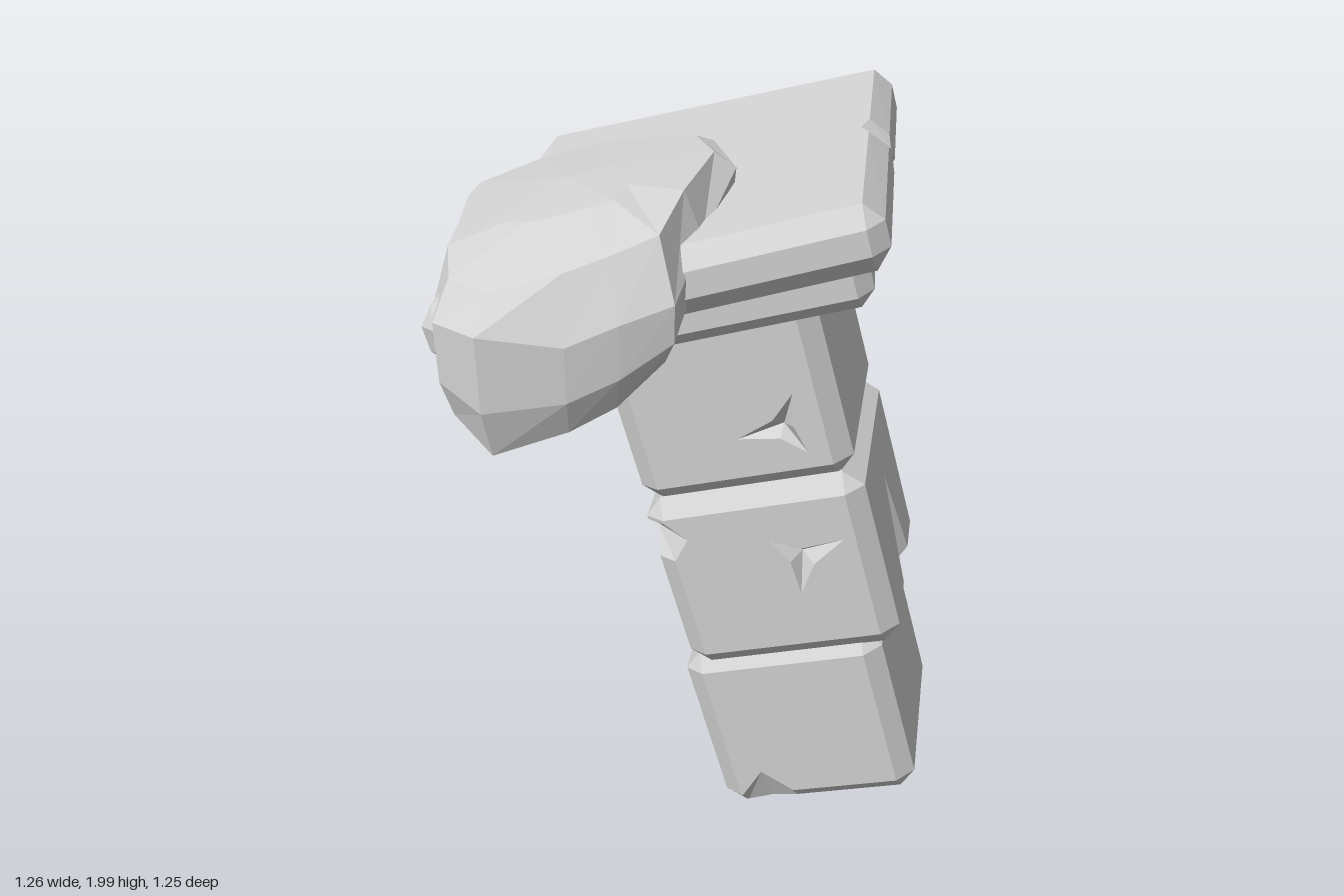
import * as THREE from 'three';

const stone = new THREE.MeshStandardMaterial({ color: 0xd4d4d4 });
stone.name = 'grey stone';

const V = p => new THREE.Vector3(...p);

// Collects flat triangles, each turned to face the given outward direction
function facets() {
  const pos = [];
  return {
    tri(p, q, r, out) {
      const n = V(q).sub(V(p)).cross(V(r).sub(V(p)));
      if (n.dot(V(out)) < 0) [q, r] = [r, q];
      pos.push(...p, ...q, ...r);
    },
    geometry(warp) {
      for (let i = 0; warp && i < pos.length; i += 3) {
        const p = warp(pos[i], pos[i + 1], pos[i + 2]);
        for (let j = 0; j < 3; j++) pos[i + j] = p[j];
      }
      const g = new THREE.BufferGeometry();
      g.setAttribute('position', new THREE.Float32BufferAttribute(pos, 3));
      g.computeVertexNormals();
      return g;
    }
  };
}

// Chamfered stone with chipped edges and star-shaped pits.
// notch: a = edge axis, sb/sd = signs of the next two axes, at = centre along the edge,
//        w = half width, b/d = depth of the bite into the two neighbouring faces
// pit: k/s = face axis and sign, at = centre on the face, r = radius, turn = angle
function chippedBlock(name, min, max, c, { notches = [], pits = [], warp } = {}) {
  const mid = min.map((m, i) => (m + max[i]) / 2);
  const h = min.map((m, i) => (max[i] - m) / 2);
  const f = facets();
  const put = p => p.map((v, i) => v + mid[i]);

  const facePoint = (k, s) => s.map((v, i) => v * (i === k ? h[i] : h[i] - c[i]));

  // Points along one border of the face with axis k
  function edge(a, s, k) {
    const b = (a + 1) % 3, d = (a + 2) % 3;
    const at = v => { const q = [...s]; q[a] = v; return facePoint(k, q); };
    const row = [at(-1)];
    const n = notches.find(n => n.a === a && n.sb === s[b] && n.sd === s[d]);
    if (n) for (const t of [-1, 0, 1]) {
      const p = at(0);
      p[a] = n.at - mid[a] + t * n.w;
      const other = k === b ? d : b;
      if (t === 0) p[other] -= s[other] * (k === b ? n.b : n.d);
      row.push(p);
    }
    row.push(at(1));
    return row;
  }

  for (let k = 0; k < 3; k++) {
    const a = (k + 1) % 3, d = (k + 2) % 3;
    for (const s of [-1, 1]) {
      // Flat face, with a hole where there is a pit
      const sign = (va, vd) => { const q = [0, 0, 0]; q[k] = s; q[a] = va; q[d] = vd; return q; };
      const loop = [
        ...edge(a, sign(0, -1), k).slice(0, -1), ...edge(d, sign(1, 0), k).slice(0, -1),
        ...edge(a, sign(0, 1), k).reverse().slice(0, -1), ...edge(d, sign(-1, 0), k).reverse().slice(0, -1)];
      const out = sign(0, 0);
      const holes = pits.filter(p => p.k === k && p.s === s).map(p => {
        const ring = [];
        for (let i = 0; i < 6; i++) {
          const ang = p.turn + i * Math.PI / 3, r = p.r * [1, 0.22, 0.75, 0.25, 0.9, 0.3][i];
          const q = [0, 0, 0];
          q[k] = s * h[k];
          q[a] = p.at[a] - mid[a] + r * Math.cos(ang);
          q[d] = p.at[d] - mid[d] + r * Math.sin(ang);
          ring.push(q);
        }
        const apex = p.at.map((v, i) => v - mid[i]);
        apex[k] = s * (h[k] - 0.04);
        ring.forEach((q, i) => f.tri(put(q), put(ring[(i + 1) % 6]), put(apex), out));
        return ring;
      });
      const flat = l => l.map(p => new THREE.Vector2(p[a], p[d]));
      const all = [loop, ...holes].flat();
      for (const [i, j, l] of THREE.ShapeUtils.triangulateShape(flat(loop), holes.map(flat)))
        f.tri(put(all[i]), put(all[j]), put(all[l]), out);

      // Chamfers along axis k, split so that a chip stays symmetrical
      for (const t of [-1, 1]) {
        const q = [0, 0, 0]; q[a] = s; q[d] = t;
        const A = edge(k, q, a).map(put), B = edge(k, q, d).map(put);
        for (let i = 0; i + 1 < A.length; i++) {
          const [P, Q] = V(A[i]).distanceTo(V(B[i + 1])) > V(A[i + 1]).distanceTo(V(B[i])) ? [A, B] : [B, A];
          f.tri(P[i], P[i + 1], Q[i + 1], q);
          f.tri(P[i], Q[i + 1], Q[i], q);
        }
      }
    }
  }
  // Corner triangles
  for (const x of [-1, 1]) for (const y of [-1, 1]) for (const z of [-1, 1]) {
    const s = [x, y, z];
    f.tri(put(facePoint(0, s)), put(facePoint(1, s)), put(facePoint(2, s)), s);
  }
  const mesh = new THREE.Mesh(f.geometry(warp), stone);
  mesh.name = name;
  return mesh;
}

// Lumpy covering that lies on the top slab and hangs over two of its sides
function drape() {
  // x, z, height of the widest line, height of the hem
  const rim = [
    [-0.63, 0.03, 1.68, 1.44], [-0.62, -0.07, 1.70, 1.6], [-0.46, -0.18, 1.80, 1.74],
    [-0.25, -0.21, 1.86, 1.80], [-0.12, -0.16, 1.91, 1.84], [0.01, -0.10, 1.95, 1.88],
    [0.09, 0.07, 1.95, 1.88], [0.05, 0.33, 1.88, 1.76], [0.02, 0.53, 1.80, 1.64],
    [-0.10, 0.57, 1.76, 1.53], [-0.22, 0.60, 1.71, 1.47], [-0.42, 0.62, 1.73, 1.40],
    [-0.54, 0.54, 1.72, 1.46], [-0.58, 0.40, 1.70, 1.64], [-0.60, 0.22, 1.69, 1.60]];
  const cx = -0.31, cz = 0.12, f = facets();
  const ring = (k, y) => rim.map(([x, z, ym, yb]) => {
    const px = cx + (x - cx) * k, pz = cz + (z - cz) * k;
    return [px, y(px, pz, ym, yb), pz];
  });
  const crest = (x, z) => 1.98 + 0.268 * x - 0.4 * Math.max(0, z - 0.4);
  const rings = [
    ring(0.45, (x, z) => crest(x, z) + 0.01), ring(0.87, crest), ring(1, (x, z, ym) => ym),
    ring(0.99, (x, z, ym, yb) => yb + 0.4 * (ym - yb)),
    ring(0.91, (x, z, ym, yb) => yb), ring(0.73, (x, z, ym, yb) => yb + 0.06),
    ring(0.7, x => 1.78 + 0.268 * x)];
  const top = [cx, 1.92, cz], inside = [cx, 1.72, cz];
  const n = rim.length;
  for (let i = 0; i < n; i++) {
    const j = (i + 1) % n;
    const o = [rim[i][0] + rim[j][0] - 2 * cx, 0, rim[i][1] + rim[j][1] - 2 * cz];
    const dirs = [[0, 1, 0], [o[0], 0.6, o[2]], o, o, [0, -1, 0], [-o[0], -0.1, -o[2]]];
    f.tri(top, rings[0][i], rings[0][j], [0, 1, 0]);
    dirs.forEach((out, r) => {
      f.tri(rings[r][i], rings[r][j], rings[r + 1][j], out);
      f.tri(rings[r][i], rings[r + 1][j], rings[r + 1][i], out);
    });
    f.tri(inside, rings[6][i], rings[6][j], [0, -1, 0]);
  }
  const mesh = new THREE.Mesh(f.geometry(), stone);
  mesh.name = 'drapedCovering';
  return mesh;
}

export function createModel() {
  const model = new THREE.Group();
  model.name = 'leaningPillar';
  const pillar = new THREE.Group();
  pillar.name = 'pillar';
  pillar.rotation.z = Math.PI / 12;
  const c = [0.05, 0.05, 0.04];

  pillar.add(
    chippedBlock('bottomBlock', [0.1, -0.03, -0.385], [0.66, 0.52, 0.18], c, {
      notches: [
        { a: 0, sb: -1, sd: 1, at: 0.23, w: 0.075, b: 0.01, d: 0.08 },
        { a: 0, sb: 1, sd: -1, at: 0.4, w: 0.09, b: 0.02, d: 0.22 }],
      pits: [{ k: 0, s: -1, at: [0, 0.22, -0.1], r: 0.1, turn: 0.5 }]
    }),
    chippedBlock('middleBlock', [0.133, 0.495, -0.395], [0.725, 1.04, 0.195], c, {
      notches: [
        { a: 1, sb: 1, sd: -1, at: 0.92, w: 0.06, b: 0.05, d: 0.07 },
        { a: 2, sb: 1, sd: -1, at: -0.13, w: 0.09, b: 0.3, d: 0.02 }],
      pits: [
        { k: 2, s: 1, at: [0.52, 0.82, 0], r: 0.13, turn: 0.3 },
        { k: 2, s: -1, at: [0.38, 0.66, 0], r: 0.1, turn: 1 }]
    }),
    chippedBlock('upperBlock', [0.143, 1.03, -0.385], [0.715, 1.59, 0.185], c, {
      notches: [{ a: 1, sb: -1, sd: 1, at: 1.43, w: 0.09, b: 0.04, d: 0.04 }],
      pits: [
        { k: 2, s: 1, at: [0.56, 1.2, 0], r: 0.12, turn: 3.2 },
        { k: 2, s: -1, at: [0.4, 1.3, 0], r: 0.12, turn: 1.4 }]
    }),
    chippedBlock('lowerSlab', [0.01, 1.52, -0.5], [0.88, 1.66, 0.27], [0.04, 0.04, 0.04], {
      notches: [{ a: 0, sb: -1, sd: -1, at: 0.45, w: 0.06, b: 0.05, d: 0.03 }],
      // Turned a little out of line with the slab above
      warp: (x, y, z) => [x + 0.07 * (z - 0.27), y, z - 0.07 * (x - 0.88)]
    }),
    chippedBlock('topSlab', [-0.11, 1.66, -0.63], [0.937, 1.825, 0.46], [0.04, 0.05, 0.04], {
      notches: [
        { a: 2, sb: 1, sd: 1, at: -0.12, w: 0.05, b: 0.02, d: 0.02 },
        { a: 2, sb: 1, sd: -1, at: -0.12, w: 0.05, b: 0.03, d: 0.04 }],
      // Slightly wider toward the front, with a skewed front edge
      warp: (x, y, z) => {
        const t = (z + 0.63) / 1.09, u = x - 0.43;
        return [x + u * 0.1 * (t - 0.6), y, z - u * 0.13 * t];
      }
    }));

  model.add(pillar, drape());
  return model;
}
